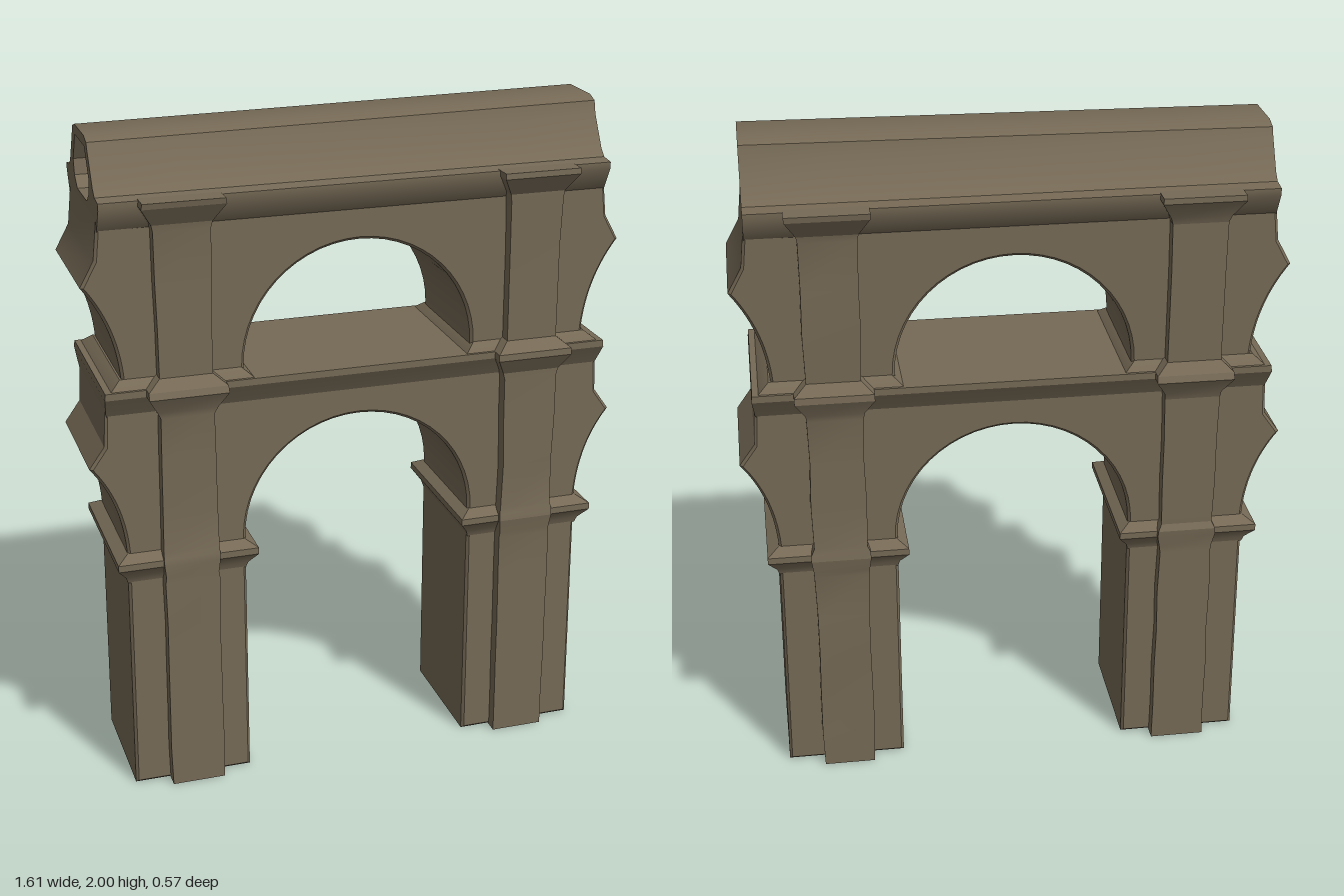
import * as THREE from 'three';
import { toCreasedNormals } from 'three/addons/utils/BufferGeometryUtils.js';

const stone = new THREE.MeshStandardMaterial({ color: 0x766a56 });
stone.name = 'weathered stone';

// small seeded random for worn edges
let seed = 7;
const rand = () => ((seed = (seed * 16807) % 2147483647) / 2147483647) * 2 - 1;

function add(group, name, geometry, crease = 0.5) {
  const mesh = new THREE.Mesh(toCreasedNormals(geometry, crease), stone);
  mesh.name = name;
  group.add(mesh);
}

// stacked rectangular sections [y, halfWidth, halfDepth], centred on cx, cz
function stack(rings, cx = 0, cz = 0, wear = 0) {
  const rows = rings.length - 1;
  const geo = new THREE.BoxGeometry(2, 1, 2, 1, rows, 1);
  const pos = geo.attributes.position;
  const worn = rings.map(([, w, d]) => [w + rand() * wear, d + rand() * wear]);
  for (let i = 0; i < pos.count; i++) {
    const row = Math.round((pos.getY(i) + 0.5) * rows);
    const [w, d] = worn[row];
    pos.setXYZ(i, cx + pos.getX(i) * w, rings[row][0], cz + pos.getZ(i) * d);
  }
  return geo;
}

// two-storey wall with both arches and the stubs of the neighbouring arches
function wallGeometry() {
  const s = new THREE.Shape();
  s.moveTo(0.35, 0);
  s.lineTo(0.71, 0);
  s.lineTo(0.705, 0.78);
  s.quadraticCurveTo(0.715, 0.94, 0.803, 1.05);
  s.lineTo(0.757, 1.115);
  s.lineTo(0.75, 1.25);
  s.lineTo(0.7, 1.31);
  s.quadraticCurveTo(0.71, 1.47, 0.803, 1.59);
  s.lineTo(0.762, 1.665);
  s.lineTo(0.75, 1.78);
  s.lineTo(-0.75, 1.78);
  s.lineTo(-0.762, 1.665);
  s.lineTo(-0.803, 1.59);
  s.quadraticCurveTo(-0.71, 1.47, -0.7, 1.31);
  s.lineTo(-0.75, 1.25);
  s.lineTo(-0.757, 1.115);
  s.lineTo(-0.803, 1.05);
  s.quadraticCurveTo(-0.715, 0.94, -0.705, 0.78);
  s.lineTo(-0.71, 0);
  s.lineTo(-0.35, 0);
  s.lineTo(-0.35, 0.78);
  s.absarc(0, 0.78, 0.35, Math.PI, 0, true);
  s.lineTo(0.35, 0);

  const upper = new THREE.Path();
  upper.moveTo(-0.345, 1.27);
  upper.lineTo(0.345, 1.27);
  upper.lineTo(0.345, 1.315);
  upper.absarc(0, 1.315, 0.345, 0, Math.PI, false);
  upper.lineTo(-0.345, 1.27);
  s.holes.push(upper);

  const geo = new THREE.ExtrudeGeometry(s, {
    depth: 0.384, curveSegments: 14, bevelSize: 0.008, bevelThickness: 0.008,
    bevelOffset: -0.008, bevelSegments: 1,
  });
  return geo.translate(0, 0, -0.192);
}

// top cornice and covered water channel, one section swept along x
function channelGeometry() {
  const side = [[0.19, 1.74], [0.2, 1.75], [0.235, 1.815], [0.235, 1.835], [0.19, 1.84],
    [0.168, 1.86], [0.115, 1.95], [0.105, 1.98], [0.07, 1.992]];
  const bore = [[0.07, 1.8], [0.108, 1.83], [0.115, 1.875], [0.07, 1.955]];
  const mirrored = (half) => [...half, ...half.map(([z, y]) => [-z, y]).reverse()]
    .map(([z, y]) => new THREE.Vector2(z, y));
  const s = new THREE.Shape(mirrored(side));
  s.holes.push(new THREE.Path(mirrored(bore)));
  const geo = new THREE.ExtrudeGeometry(s, { depth: 1.5, steps: 6, bevelEnabled: false });
  geo.translate(0, 0, -0.75).rotateY(Math.PI / 2);
  // the roof rises slightly towards +x
  const pos = geo.attributes.position;
  for (let i = 0; i < pos.count; i++) {
    if (pos.getY(i) > 1.965) pos.setY(i, pos.getY(i) + pos.getX(i) * 0.01);
  }
  return geo;
}

export function createModel() {
  const model = new THREE.Group();
  model.name = 'aqueduct';

  add(model, 'archedWall', wallGeometry());
  add(model, 'waterChannel', channelGeometry());

  // ledge between the storeys
  add(model, 'middleCornice', stack([
    [1.2, 0.745, 0.195], [1.215, 0.75, 0.203], [1.27, 0.757, 0.238], [1.29, 0.755, 0.238],
  ]));

  for (const x of [-1, 1]) {
    const sideName = x > 0 ? 'left' : 'right';

    // sloped foot of the upper storey
    add(model, sideName + 'UpperFoot', stack([
      [1.285, 0.21, 0.232], [1.292, 0.205, 0.228], [1.315, 0.176, 0.2],
    ], x * 0.53));

    // moulding where the arch springs from the pier
    add(model, sideName + 'Impost', stack([
      [0.68, 0.178, 0.199], [0.7, 0.184, 0.206], [0.735, 0.21, 0.234],
      [0.755, 0.21, 0.234], [0.775, 0.176, 0.2],
    ], x * 0.53));

    // pilasters on both faces, flaring at each cornice
    for (const z of [-1, 1]) {
      const rings = [[0, 0.08, 0.05]];
      for (let y = 0.12; y < 0.7; y += 0.14) rings.push([y, 0.08, 0.05]);
      rings.push(
        [0.7, 0.081, 0.05], [0.74, 0.086, 0.056], [0.76, 0.086, 0.056], [0.78, 0.08, 0.05],
        [0.92, 0.08, 0.05], [1.06, 0.08, 0.05], [1.2, 0.08, 0.05], [1.22, 0.085, 0.055],
        [1.27, 0.113, 0.083], [1.29, 0.113, 0.08], [1.32, 0.08, 0.05],
        [1.46, 0.08, 0.05], [1.6, 0.08, 0.05], [1.745, 0.08, 0.05], [1.765, 0.085, 0.055],
        [1.82, 0.117, 0.09], [1.837, 0.117, 0.09],
      );
      add(model, sideName + (z > 0 ? 'Front' : 'Back') + 'Pilaster',
        stack(rings, x * 0.523, z * 0.19, 0.003), 0.3);
    }
  }
  return model;
}
